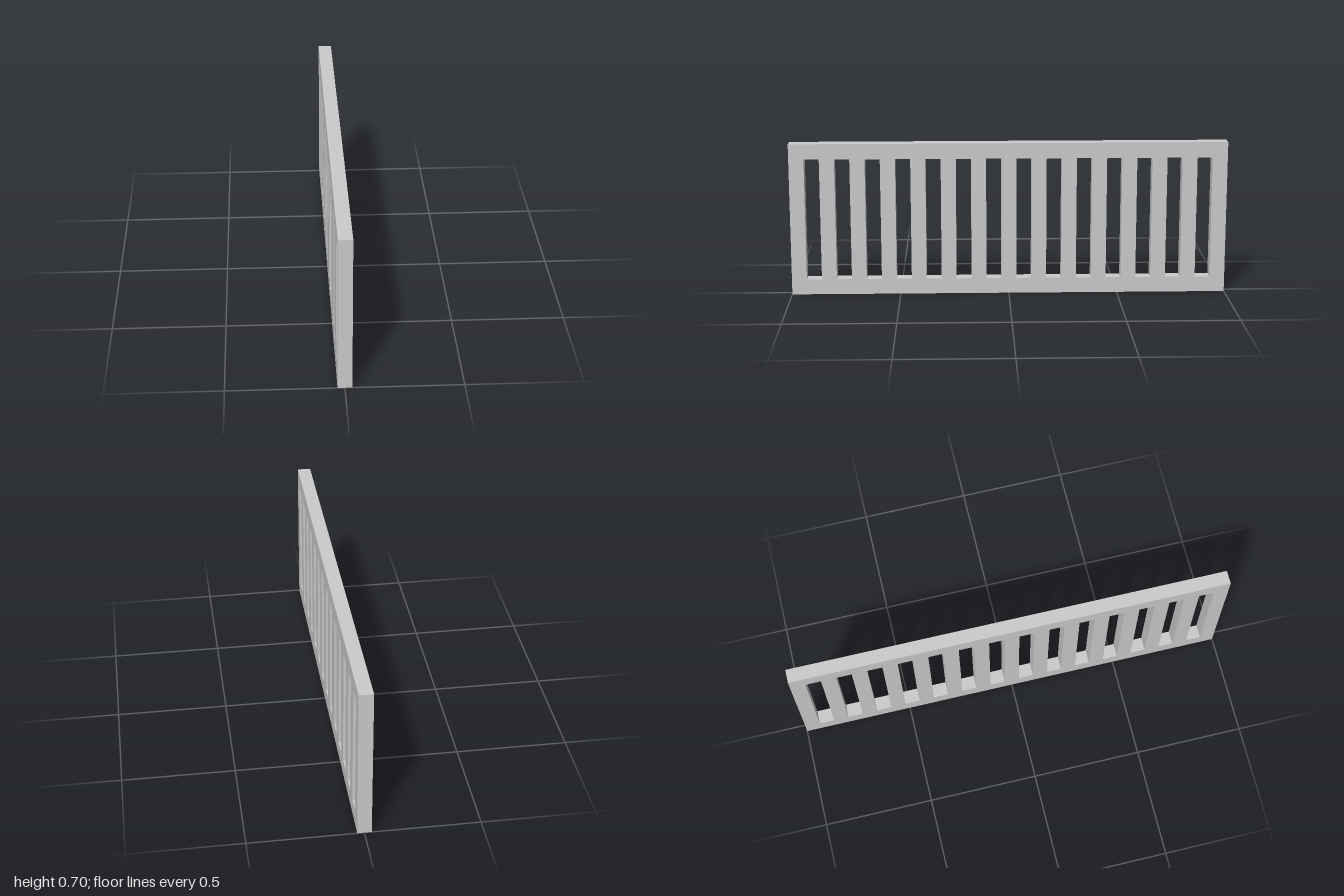
import * as THREE from 'three';

const LENGTH = 2, HEIGHT = 0.704, DEPTH = 0.062;
const SLOTS = 14;
const STRIP = LENGTH / (2 * SLOTS + 1); // bars and slots share one width
const RAIL = 0.071; // height of the top and bottom rails

// Traces a rectangle on a Shape or Path
function rect(path, x, y, w, h) {
  path.moveTo(x, y);
  path.lineTo(x + w, y);
  path.lineTo(x + w, y + h);
  path.lineTo(x, y + h);
  path.closePath();
  return path;
}

export function createModel() {
  const group = new THREE.Group();
  group.name = 'slottedPanel';

  // Panel outline with a row of evenly spaced upright slots
  const outline = rect(new THREE.Shape(), -LENGTH / 2, 0, LENGTH, HEIGHT);
  for (let i = 0; i < SLOTS; i++) {
    const x = -LENGTH / 2 + STRIP * (2 * i + 1);
    outline.holes.push(rect(new THREE.Path(), x, RAIL, STRIP, HEIGHT - 2 * RAIL));
  }

  // Extrude the thickness, centre it and turn the length along z
  const geometry = new THREE.ExtrudeGeometry(outline, { depth: DEPTH, bevelEnabled: false });
  geometry.translate(0, 0, -DEPTH / 2);
  geometry.rotateY(-Math.PI / 2);

  const railing = new THREE.Mesh(
    geometry,
    new THREE.MeshStandardMaterial({ color: 0xcccccc, flatShading: true })
  );
  railing.name = 'railing';
  group.add(railing);
  return group;
}
